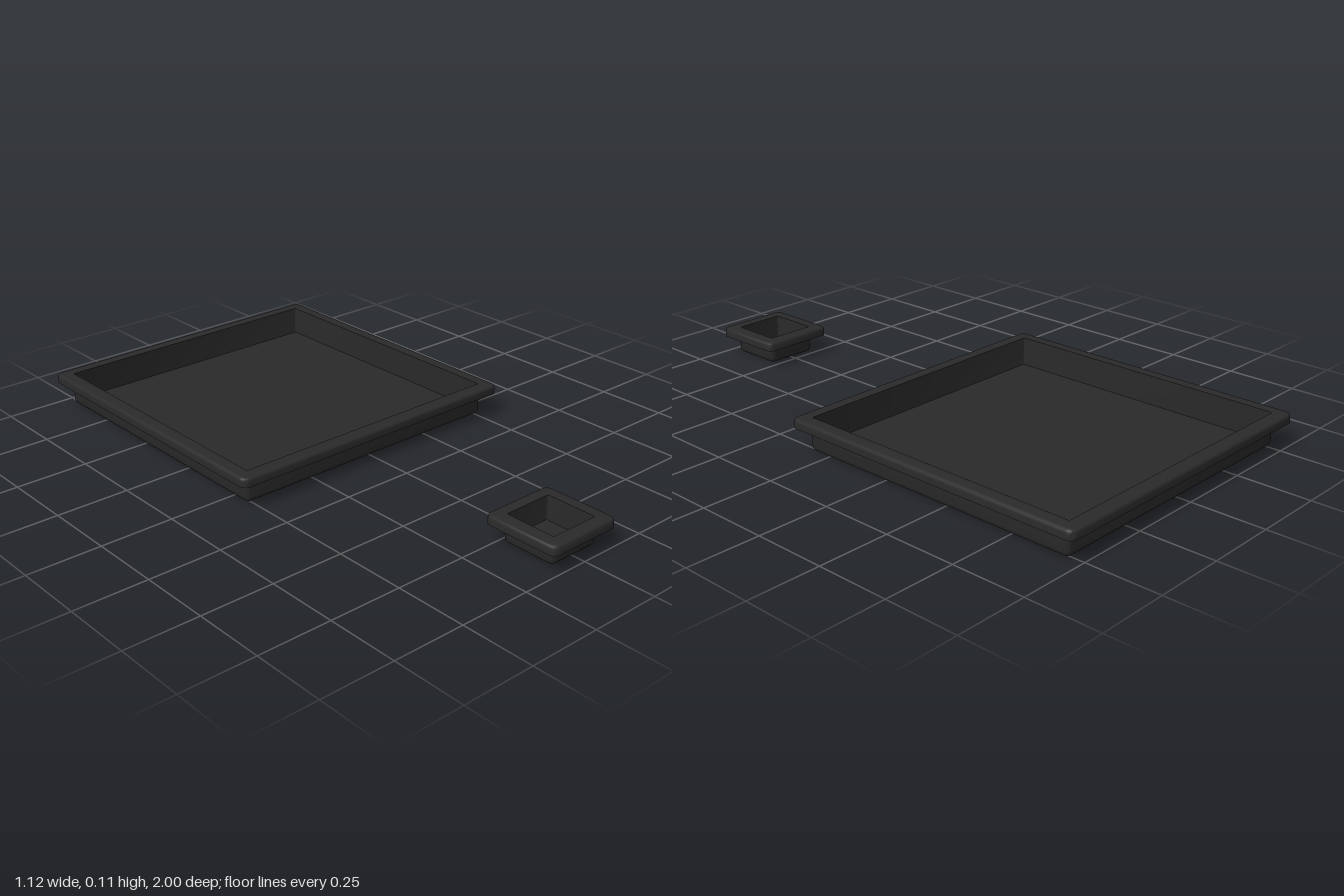
import * as THREE from 'three';
import { toCreasedNormals } from 'three/addons/utils/BufferGeometryUtils.js';

const CORNER_STEPS = 5;

// Outline of a rounded square with half-width h, as [x, z] points
function roundedSquare(h, radius) {
  const r = Math.min(radius, h);
  const points = [];
  for (let q = 0; q < 4; q++) {
    const mid = (q + 0.5) * Math.PI / 2;
    const cx = Math.sign(Math.cos(mid)) * (h - r);
    const cz = Math.sign(Math.sin(mid)) * (h - r);
    for (let i = 0; i <= CORNER_STEPS; i++) {
      const a = (q + i / CORNER_STEPS) * Math.PI / 2;
      points.push([cx + r * Math.cos(a), cz + r * Math.sin(a)]);
    }
  }
  return points;
}

// Joins rounded squares along a profile of [halfWidth, y, cornerRadius]
function loftSquare(profile) {
  const positions = [];
  const index = [];
  const n = 4 * (CORNER_STEPS + 1);
  for (const [h, y, r] of profile) {
    for (const [x, z] of roundedSquare(h, r)) positions.push(x, y, z);
  }
  for (let k = 0; k < profile.length - 1; k++) {
    for (let i = 0; i < n; i++) {
      const j = (i + 1) % n;
      const a = k * n + i, c = k * n + j;
      const b = a + n, d = c + n;
      if (profile[k][0] > 0) index.push(a, b, c);
      if (profile[k + 1][0] > 0) index.push(c, b, d);
    }
  }
  const geometry = new THREE.BufferGeometry();
  geometry.setAttribute('position', new THREE.Float32BufferAttribute(positions, 3));
  geometry.setIndex(index);
  return toCreasedNormals(geometry, Math.PI / 6);
}

// Quarter round on the outer edge, from angle a0 to a1
function edgeRound(half, y, r, corner, a0, a1) {
  const points = [];
  for (let i = 0; i <= 4; i++) {
    const a = a0 + (a1 - a0) * i / 4;
    const h = half - r + r * Math.cos(a);
    points.push([h, y + r * Math.sin(a), corner - (half - h) * 0.7]);
  }
  return points;
}

function makeTray(name, { rim, body, inner, height, lip }, material) {
  const wall = 0.008, bottomRound = 0.02, topRound = 0.012, floor = 0.012;
  const tray = new THREE.Group();
  tray.name = name;

  // Pan: underside, outer wall, then inner wall and floor
  const pan = new THREE.Mesh(loftSquare([
    [0, 0, 0],
    ...edgeRound(body, bottomRound, bottomRound, 0.02, -Math.PI / 2, 0),
    [body, height - wall, 0.02],
  ]), material);
  pan.name = 'panOutside';

  const inside = new THREE.Mesh(loftSquare([
    [inner, height, 0.004],
    [inner, floor, 0.004],
    [0, floor, 0],
  ]), material);
  inside.name = 'panInside';

  // Flange with a turned-down lip, hollow beneath
  const flange = new THREE.Mesh(loftSquare([
    [body, height - wall, 0.02],
    [rim - wall, height - wall, 0.016],
    [rim - wall, lip, 0.016],
    [rim, lip, 0.024],
    ...edgeRound(rim, height - topRound, topRound, 0.024, 0, Math.PI / 2),
    [inner, height, 0.004],
  ]), material);
  flange.name = 'rim';

  tray.add(pan, inside, flange);
  return tray;
}

export function createModel() {
  const model = new THREE.Group();
  model.name = 'trays';
  const plastic = new THREE.MeshStandardMaterial({ color: 0x2a2a2a });
  plastic.name = 'black plastic';

  const large = makeTray('largeTray',
    { rim: 0.56, body: 0.52, inner: 0.512, height: 0.114, lip: 0.082 }, plastic);
  large.position.z = -0.44;

  const small = makeTray('smallTray',
    { rim: 0.137, body: 0.098, inner: 0.09, height: 0.097, lip: 0.065 }, plastic);
  small.position.z = 0.863;

  model.add(large, small);
  return model;
}
